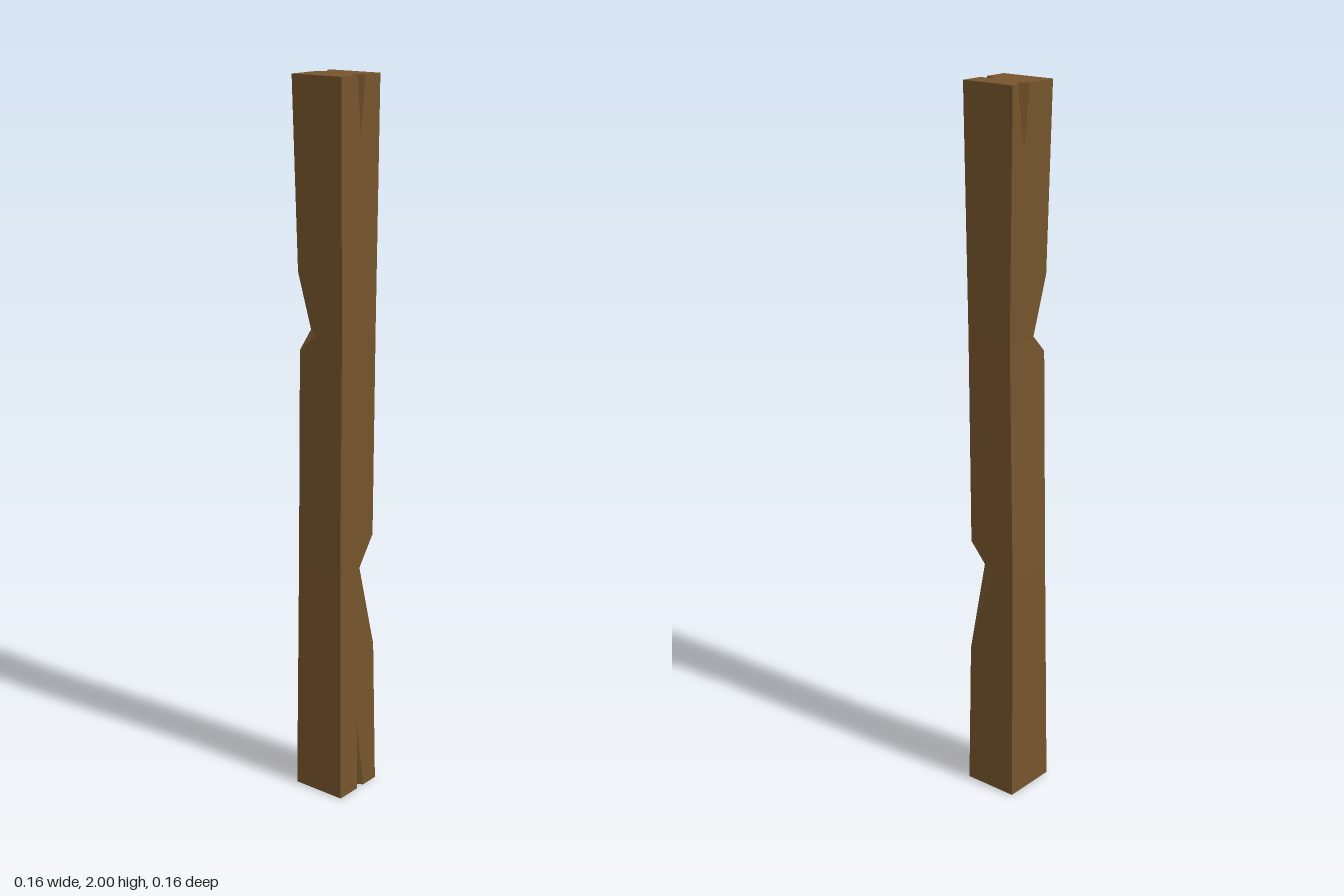
import * as THREE from 'three';

// Slightly crooked beam: x and z extents at each bend height
const ROWS = [
  { y: 0, x: [-0.08, 0.08], z: [-0.08, 0.08] },
  { y: 0.667, x: [-0.065, 0.078], z: [-0.08, 0.066] },
  { y: 1.333, x: [-0.079, 0.065], z: [-0.059, 0.082] },
  { y: 2, x: [-0.08, 0.08], z: [-0.08, 0.08] },
];
const [Y0, Y1, Y2, Y3] = ROWS.map((r) => r.y);
const lerp = THREE.MathUtils.lerp;

// Section coordinates s, t (-1..1) at height y, bent to the beam
function place(s, y, t) {
  const i = y < Y1 ? 0 : y < Y2 ? 1 : 2;
  const a = ROWS[i], b = ROWS[i + 1], k = (y - a.y) / (b.y - a.y);
  const at = (axis, v) =>
    lerp(lerp(a[axis][0], b[axis][0], k), lerp(a[axis][1], b[axis][1], k), (v + 1) / 2);
  return [at('x', s), y, at('z', t)];
}

// Side faces 0 front, 1 right-hand (+x), 2 back, 3 left-hand (-x); w = 1 is the surface
function onFace(k, u, y, w = 1) {
  const [s, t] = [[u, w], [w, -u], [-u, -w], [-w, u]][k];
  return place(s, y, t);
}

// Fill a counter-clockwise outline and map it into space
function fill(outline, map) {
  const pts = outline.map((p) => new THREE.Vector2(...p));
  return THREE.ShapeUtils.triangulateShape(pts, []).flat().flatMap((i) => map(...outline[i]));
}

function addMesh(group, name, positions, material) {
  const geo = new THREE.BufferGeometry();
  geo.setAttribute('position', new THREE.Float32BufferAttribute(positions, 3));
  geo.computeVertexNormals();
  const mesh = new THREE.Mesh(geo, material);
  mesh.name = name;
  group.add(mesh);
}

export function createModel() {
  const group = new THREE.Group();
  group.name = 'woodenBeam';
  const wood = new THREE.MeshStandardMaterial({ color: 0x76552c, flatShading: true });

  // End splits: a, b = mouth corners, d = deep point at depth w, tip = height of the point
  const frontTop = { face: 0, y: Y3, a: -0.16, b: 0.22, d: 0, w: 0.5, tip: 1.84 };
  const backTop = { face: 2, y: Y3, a: -0.79, b: -0.16, d: -0.38, w: 0.69, tip: 1.83 };
  const frontBottom = { face: 0, y: Y0, a: -0.05, b: 0.3, d: -0.05, w: 0.5, tip: 0.2 };

  // Corner chips: p on the face before the corner, q on the face after it
  const lowChip = { face: 0, p: 0.19, q: -0.03, y: Y1, low: 0.42, high: 0.75 };
  const highChip = { face: 2, p: 0.36, q: -0.23, y: Y2, low: 1.285, high: 1.495 };

  // Side faces, one outline per band between bends
  const splits = [frontTop, backTop, frontBottom], chips = [lowChip, highChip];
  ['frontFace', 'rightHandFace', 'backFace', 'leftHandFace'].forEach((name, k) => {
    const positions = [];
    for (let i = 0; i < 3; i++) {
      const lo = ROWS[i].y, hi = ROWS[i + 1].y;
      const corner = (side, y, inward) => {
        const chip = chips.find((c) => c.y === y && (side > 0 ? c.face : (c.face + 1) % 4) === k);
        if (!chip) return [[side, y]];
        return [[side, inward > 0 ? chip.high : chip.low], [side > 0 ? chip.p : chip.q, y]];
      };
      const mouth = (y) => {
        const n = splits.find((c) => c.face === k && c.y === y);
        return n ? [[n.a, y], [n.d, n.tip], [n.b, y]] : [];
      };
      const outline = [
        ...corner(-1, lo, 1), ...mouth(lo), ...corner(1, lo, 1).reverse(),
        ...corner(1, hi, -1), ...mouth(hi).reverse(), ...corner(-1, hi, -1).reverse(),
      ];
      positions.push(...fill(outline, (u, y) => onFace(k, u, y)));
    }
    addMesh(group, name, positions, wood);
  });

  // End caps with the split mouths cut out
  const f = frontTop, r = backTop, g = frontBottom;
  const top = [[-1, -1], [f.a, -1], [f.d, -f.w], [f.b, -1], [1, -1],
    [1, 1], [-r.a, 1], [-r.d, r.w], [-r.b, 1], [-1, 1]];
  addMesh(group, 'topEnd', fill(top, (s, v) => place(s, Y3, -v)), wood);
  const bottom = [[-1, -1], [1, -1], [1, 1], [g.b, 1], [g.d, g.w], [g.a, 1], [-1, 1]];
  addMesh(group, 'bottomEnd', fill(bottom, (s, t) => place(s, Y0, t)), wood);

  // Inner walls of the splits
  splits.forEach((n) => {
    const A = onFace(n.face, n.a, n.y), B = onFace(n.face, n.b, n.y);
    const D = onFace(n.face, n.d, n.y, n.w), T = onFace(n.face, n.d, n.tip);
    const tris = n.y === Y3 ? [A, T, D, D, T, B] : [A, D, T, D, B, T];
    addMesh(group, 'endSplit', tris.flat(), wood);
  });

  // Sloping cuts of the corner chips
  chips.forEach((c) => {
    const P = onFace(c.face, c.p, c.y), Q = onFace((c.face + 1) % 4, c.q, c.y);
    const U = onFace(c.face, 1, c.high), L = onFace(c.face, 1, c.low);
    addMesh(group, 'cornerChip', [U, P, Q, L, Q, P].flat(), wood);
  });

  return group;
}
